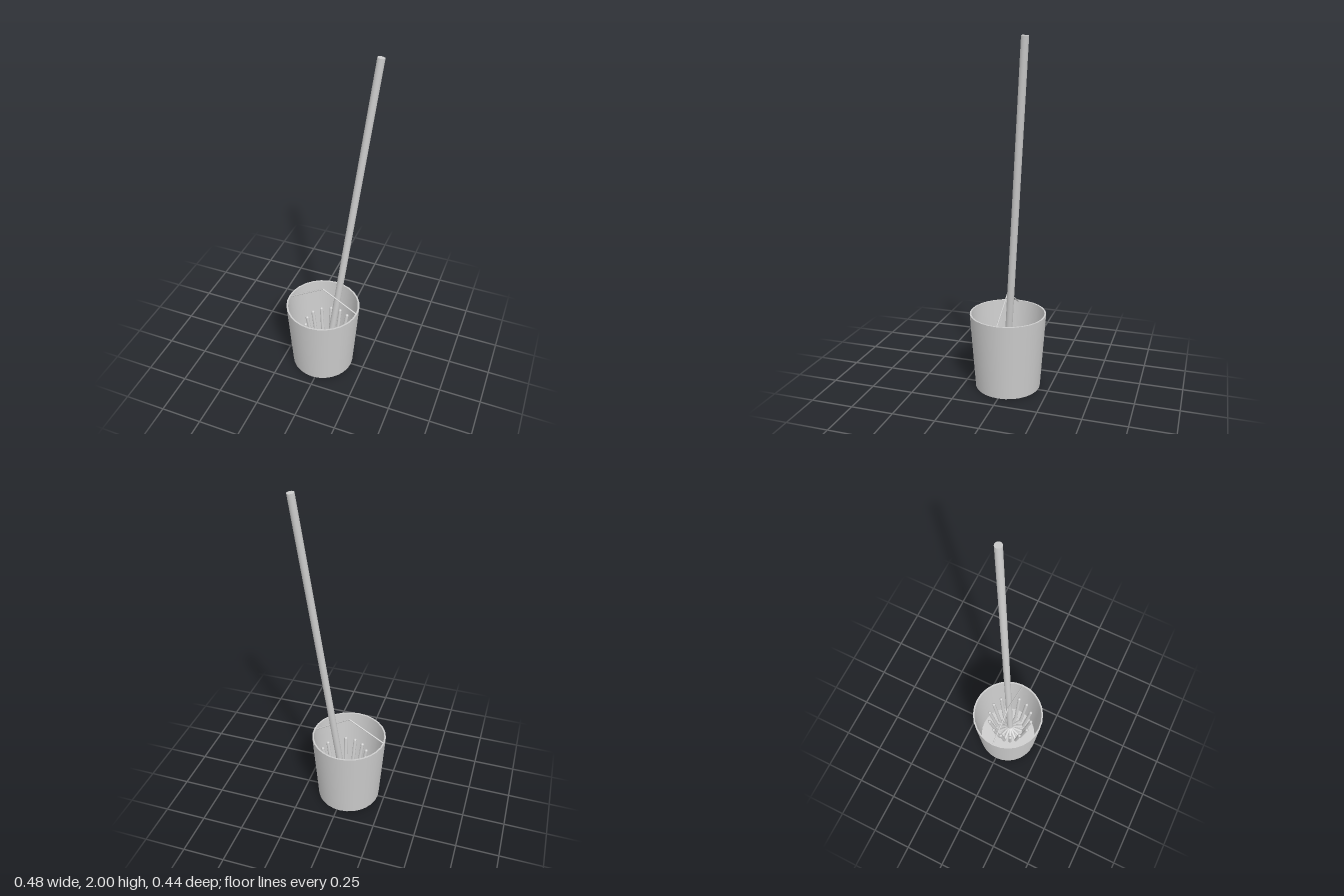
import * as THREE from 'three';

const grey = new THREE.MeshStandardMaterial({ color: 0xcccccc, side: THREE.DoubleSide });
grey.name = 'light grey';

const v = (x, y, z) => new THREE.Vector3(x, y, z);

function add(parent, name, geometry) {
  const mesh = new THREE.Mesh(geometry, grey);
  mesh.name = name;
  parent.add(mesh);
  return mesh;
}

// Places an upright geometry so that it runs from a to b
function between(mesh, a, b) {
  mesh.position.copy(a).add(b).multiplyScalar(0.5);
  mesh.quaternion.setFromUnitVectors(v(0, 1, 0), b.clone().sub(a).normalize());
}

function rod(parent, name, a, b, radius, sides) {
  between(add(parent, name, new THREE.CylinderGeometry(radius, radius, a.distanceTo(b), sides)), a, b);
}

function capsule(parent, name, a, b, radius) {
  between(add(parent, name, new THREE.CapsuleGeometry(radius, a.distanceTo(b), 5, 12)), a, b);
}

// Hollow tapered bucket: each band is its own lathe so the edges stay sharp
function makeBucket() {
  const bucket = new THREE.Group();
  bucket.name = 'bucket';
  bucket.position.x = -0.02;
  const profile = [[0, 0], [0.19, 0], [0.222, 0.45], [0.212, 0.45], [0.182, 0.012], [0, 0.012]]
    .map(([x, y]) => new THREE.Vector2(x, y));
  ['bucketBase', 'outerWall', 'rim', 'innerWall', 'bucketFloor'].forEach((name, i) =>
    add(bucket, name, new THREE.LatheGeometry([profile[i], profile[i + 1]], 28)));

  // Wire carrying handle
  for (const side of [-1, 1]) {
    rod(bucket, 'wireHandle', v(side * 0.212, 0.445, 0), v(0, 0.574, 0), 0.0045, 8);
  }
  return bucket;
}

// Mop: leaning pole with a ring of strands that fold up at the floor
function makeMop() {
  const mop = new THREE.Group();
  mop.name = 'mop';
  rod(mop, 'mopPole', v(0.014, 0.06, 0), v(0.22, 1.997, -0.161), 0.02, 24);

  const head = new THREE.Group();
  head.name = 'mopHead';
  head.position.x = 0.012;
  mop.add(head);
  const count = 14;
  for (let i = 0; i < count; i++) {
    const strand = new THREE.Group();
    strand.name = 'mopStrand';
    strand.rotation.y = (i / count) * Math.PI * 2;
    capsule(strand, 'strandInner', v(0, 0.08, 0), v(0.09, 0.03, 0), 0.0105);
    capsule(strand, 'strandTip', v(0.09, 0.03, 0), v(0.138, 0.3, 0), 0.0105);
    head.add(strand);
  }
  return mop;
}

export function createModel() {
  const model = new THREE.Group();
  model.name = 'mopAndBucket';
  model.add(makeBucket(), makeMop());
  return model;
}
